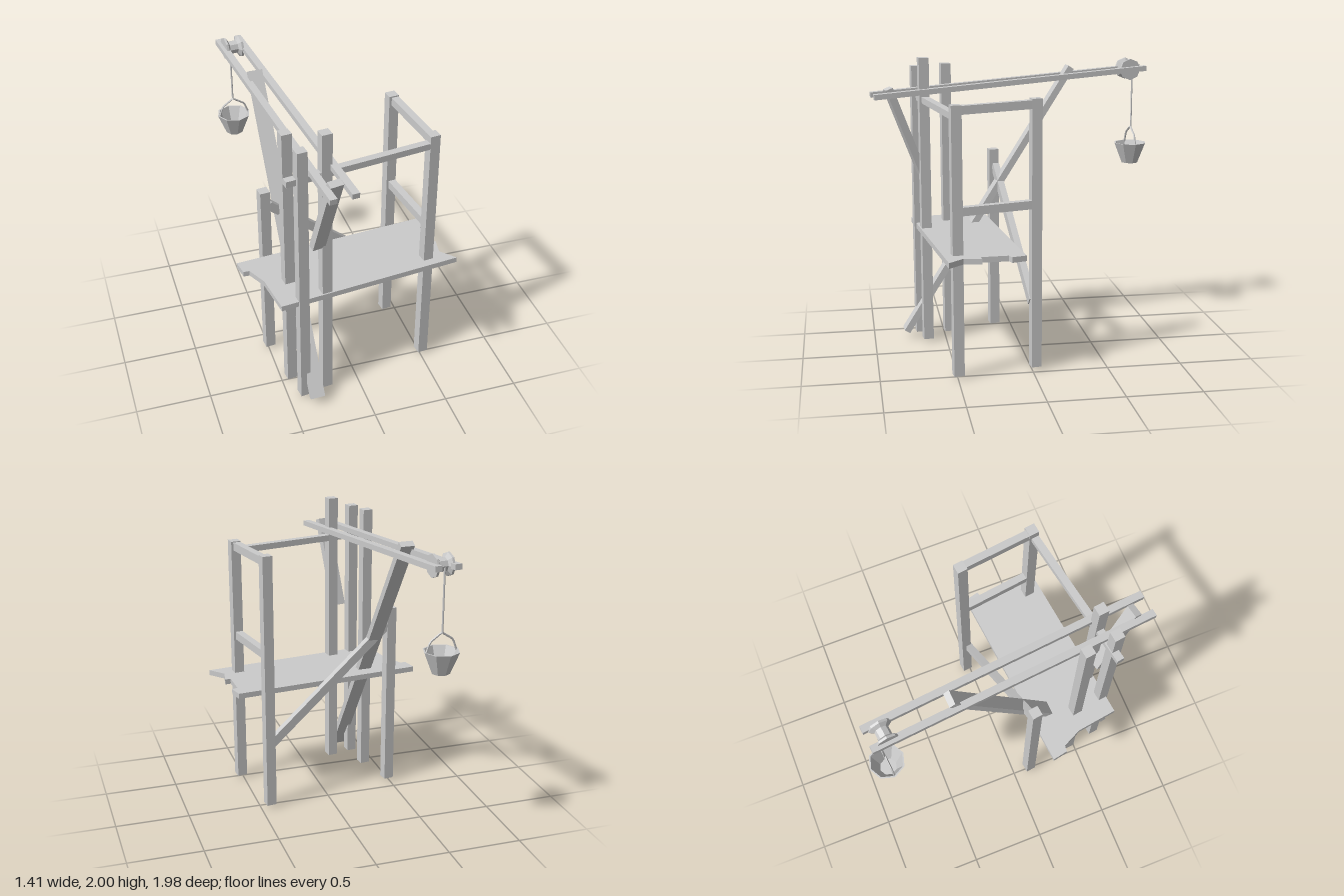
import * as THREE from 'three';

const YAW = 0.12; // the whole frame is turned slightly
const mat = new THREE.MeshStandardMaterial({ color: 0xcccccc, flatShading: true });
const thinMat = new THREE.MeshStandardMaterial({ color: 0xcccccc, flatShading: true, side: THREE.DoubleSide });

export function createModel() {
  const model = new THREE.Group();
  model.name = 'wellHoist';

  const add = (name, geometry, material = mat, parent = model) => {
    const mesh = new THREE.Mesh(geometry, material);
    mesh.name = name;
    parent.add(mesh);
    return mesh;
  };

  // Upright post with an open bottom
  const post = (name, x, z, top, bottom = 0.02) => {
    const g = new THREE.BoxGeometry(0.068, top - bottom, 0.068);
    const idx = Array.from(g.index.array);
    idx.splice(18, 6);
    g.setIndex(idx);
    g.clearGroups();
    const m = add(name, g, thinMat);
    m.position.set(x, (top + bottom) / 2, z);
    m.rotation.y = YAW;
  };

  // Beam between two points, w wide sideways and h deep
  const beam = (name, a, b, w, h) => {
    const p = new THREE.Vector3(...a), q = new THREE.Vector3(...b);
    const m = add(name, new THREE.BoxGeometry(w, h, p.distanceTo(q)));
    m.position.copy(p).lerp(q, 0.5);
    m.lookAt(q);
  };

  // Posts
  post('backLeftPost', 0.43, -0.025, 1.8);
  post('frontLeftPost', 0.513, 0.495, 1.78);
  post('tallMastPost', -0.228, 0.63, 2.0);
  post('frontRightPost', -0.392, 0.67, 1.93);
  post('middleRightPost', -0.428, 0.463, 1.94, 0.0);
  post('backRightPost', -0.49, 0.122, 1.32);

  // Rails and cross brace
  beam('frontRail', [-0.49, 1.72, 0.67], [0.51, 1.71, 0.5], 0.05, 0.042);
  beam('upperSideRail', [0.51, 1.745, 0.51], [0.435, 1.765, -0.04], 0.05, 0.055);
  beam('lowerSideRail', [0.51, 1.105, 0.5], [0.435, 1.12, -0.02], 0.05, 0.055);
  beam('backCrossBrace', [-0.46, 1.2, 0.11], [0.415, 0.46, -0.005], 0.045, 0.06);

  // Plank platform with ragged ends
  const outline = [
    [-0.705, 0.19], [0.61, 0.063], [0.635, 0.16], [0.595, 0.175], [0.6, 0.355], [0.64, 0.35],
    [0.62, 0.465], [0.705, 0.565], [-0.54, 0.71], [-0.58, 0.43], [-0.645, 0.295], [-0.685, 0.295],
  ].map(([x, z]) => new THREE.Vector2(x, -z));
  const deck = new THREE.ExtrudeGeometry(new THREE.Shape(outline), { depth: 0.037, bevelEnabled: false });
  deck.rotateX(-Math.PI / 2);
  add('platform', deck).position.y = 0.792;

  // Twin jib beams and their struts
  beam('jibRight', [-0.287, 1.75, 0.985], [-0.51, 1.885, -0.94], 0.048, 0.036);
  beam('jibLeft', [-0.145, 1.75, 0.965], [-0.375, 1.887, -0.955], 0.048, 0.036);
  beam('longStrut', [-0.33, 0.05, 0.775], [-0.39, 1.905, -0.41], 0.095, 0.045);
  beam('shortStrut', [-0.285, 1.2, 0.645], [-0.238, 1.795, 0.868], 0.088, 0.05);

  // Pulley wheel
  const profile = [
    [0, -0.06], [0.075, -0.06], [0.075, -0.045], [0.045, -0.028],
    [0.045, 0.028], [0.075, 0.045], [0.075, 0.06], [0, 0.06],
  ].map(([r, y]) => new THREE.Vector2(r, y));
  const wheel = new THREE.LatheGeometry(profile, 8);
  wheel.rotateZ(Math.PI / 2);
  const pulley = add('pulley', wheel);
  pulley.position.set(-0.437, 1.878, -0.84);
  pulley.rotation.y = YAW;

  // Rope, bucket and handle
  const hoist = new THREE.Group();
  hoist.name = 'bucketAssembly';
  hoist.position.set(-0.447, 0, -0.873);
  hoist.rotation.y = YAW;
  model.add(hoist);

  const rope = add('rope', new THREE.CylinderGeometry(0.006, 0.006, 0.42, 6), mat, hoist);
  rope.position.set(0, 1.665, -0.005);

  const bucketProfile = [[0, 1.2], [0.06, 1.2], [0.118, 1.345], [0.108, 1.345], [0.055, 1.215], [0, 1.215]]
    .map(([r, y]) => new THREE.Vector2(r, y));
  add('bucket', new THREE.LatheGeometry(bucketProfile, 8), thinMat, hoist);

  const arch = [[-0.108, 1.335], [-0.08, 1.41], [0, 1.462], [0.08, 1.41], [0.108, 1.335]]
    .map(([x, y]) => new THREE.Vector3(x, y, 0));
  const path = new THREE.CurvePath();
  for (let i = 0; i < arch.length - 1; i++) path.add(new THREE.LineCurve3(arch[i], arch[i + 1]));
  add('bucketHandle', new THREE.TubeGeometry(path, 16, 0.007, 5), thinMat, hoist);

  return model;
}
